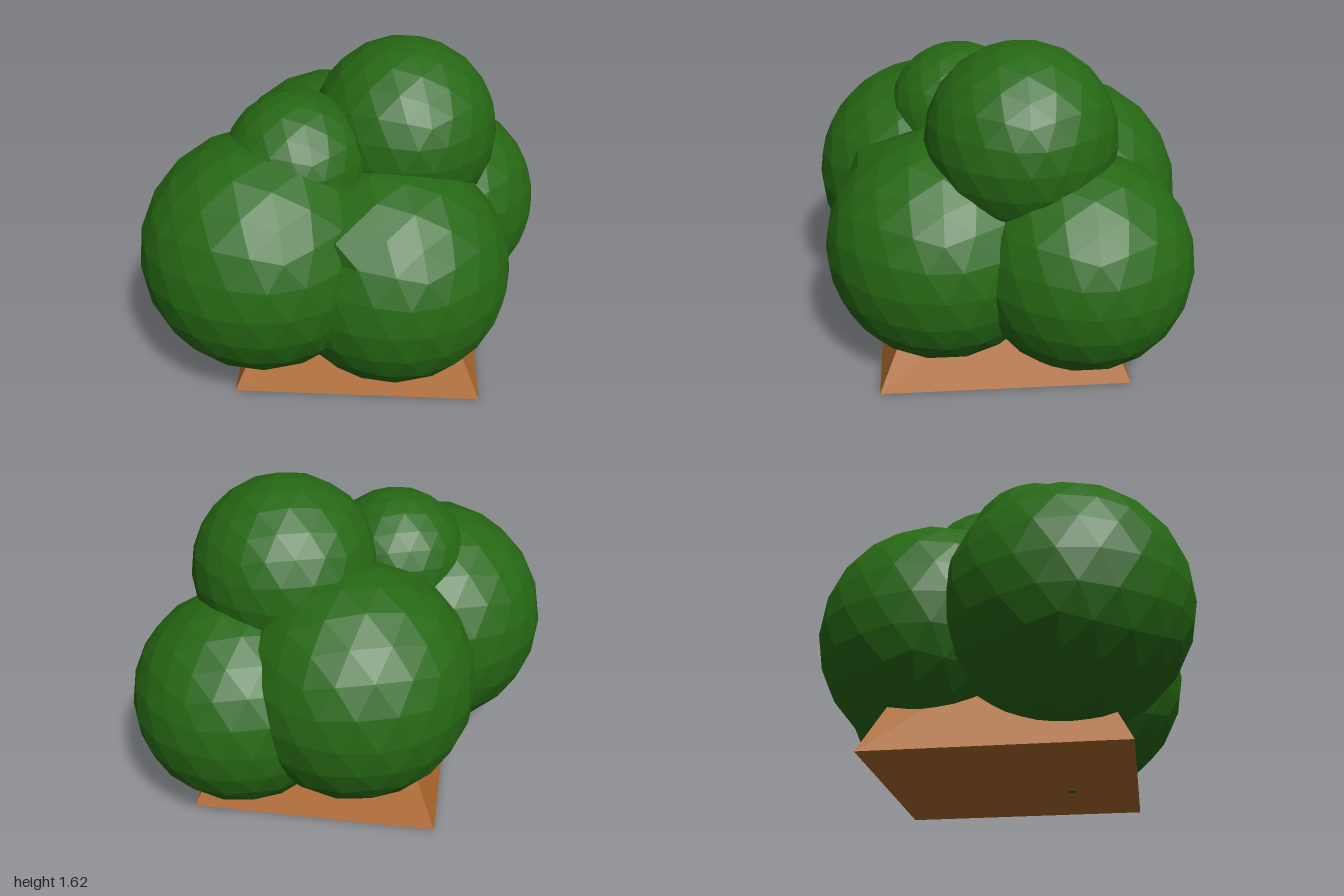
import * as THREE from 'three';

const leafMaterial = new THREE.MeshStandardMaterial({ color: 0x266814, flatShading: true });
const trunkMaterial = new THREE.MeshStandardMaterial({ color: 0xb06a2e, flatShading: true });

// Icosphere with one vertex pointing straight up
function leafBall(name, radius, x, y, z) {
  const geometry = new THREE.IcosahedronGeometry(radius, 3);
  geometry.rotateX(-Math.atan2(1 + Math.sqrt(5), 2));
  geometry.rotateY(Math.PI / 2);
  const mesh = new THREE.Mesh(geometry, leafMaterial);
  mesh.name = name;
  mesh.position.set(x, y, z);
  return mesh;
}

// Pull the vertex nearest to a local target out to that target
function pullCorner(geometry, target) {
  const pos = geometry.attributes.position;
  const v = new THREE.Vector3();
  const nearest = new THREE.Vector3();
  let best = Infinity;
  for (let i = 0; i < pos.count; i++) {
    const d = v.fromBufferAttribute(pos, i).distanceTo(target);
    if (d < best) {
      best = d;
      nearest.copy(v);
    }
  }
  for (let i = 0; i < pos.count; i++) {
    if (v.fromBufferAttribute(pos, i).distanceTo(nearest) < 1e-4) {
      pos.setXYZ(i, target.x, target.y, target.z);
    }
  }
  geometry.computeVertexNormals();
}

export function createModel() {
  const group = new THREE.Group();
  group.name = 'bush';

  // Foliage: four large lower balls and two smaller ones on top
  const balls = [
    ['foliageFrontRight', 0.60, -0.40, 0.70, 0.335],
    ['foliageFrontLeft', 0.583, 0.24, 0.58, 0.285],
    ['foliageBackLeft', 0.54, 0.46, 0.58, -0.385],
    ['foliageBackRight', 0.592, -0.10, 0.70, -0.35],
    ['foliageTop', 0.465, 0.275, 1.155, -0.10],
    ['foliageTopSmall', 0.36, -0.235, 1.10, 0.18],
  ];
  for (const ball of balls) group.add(leafBall(...ball));

  // Small pointed leaf corner on the front ball
  const front = group.getObjectByName('foliageFrontLeft');
  pullCorner(front.geometry, new THREE.Vector3(-0.02, 0.99, 0.70).sub(front.position));

  // Square tapered trunk, mostly hidden by the foliage
  const bottom = 0.615, top = 0.3, height = 0.7;
  const trunkGeometry = new THREE.CylinderGeometry(top * Math.SQRT2, bottom * Math.SQRT2, height, 4);
  trunkGeometry.rotateY(Math.PI / 4);
  const trunk = new THREE.Mesh(trunkGeometry, trunkMaterial);
  trunk.name = 'trunk';
  trunk.position.set(0.075, height / 2, 0);
  group.add(trunk);

  return group;
}
